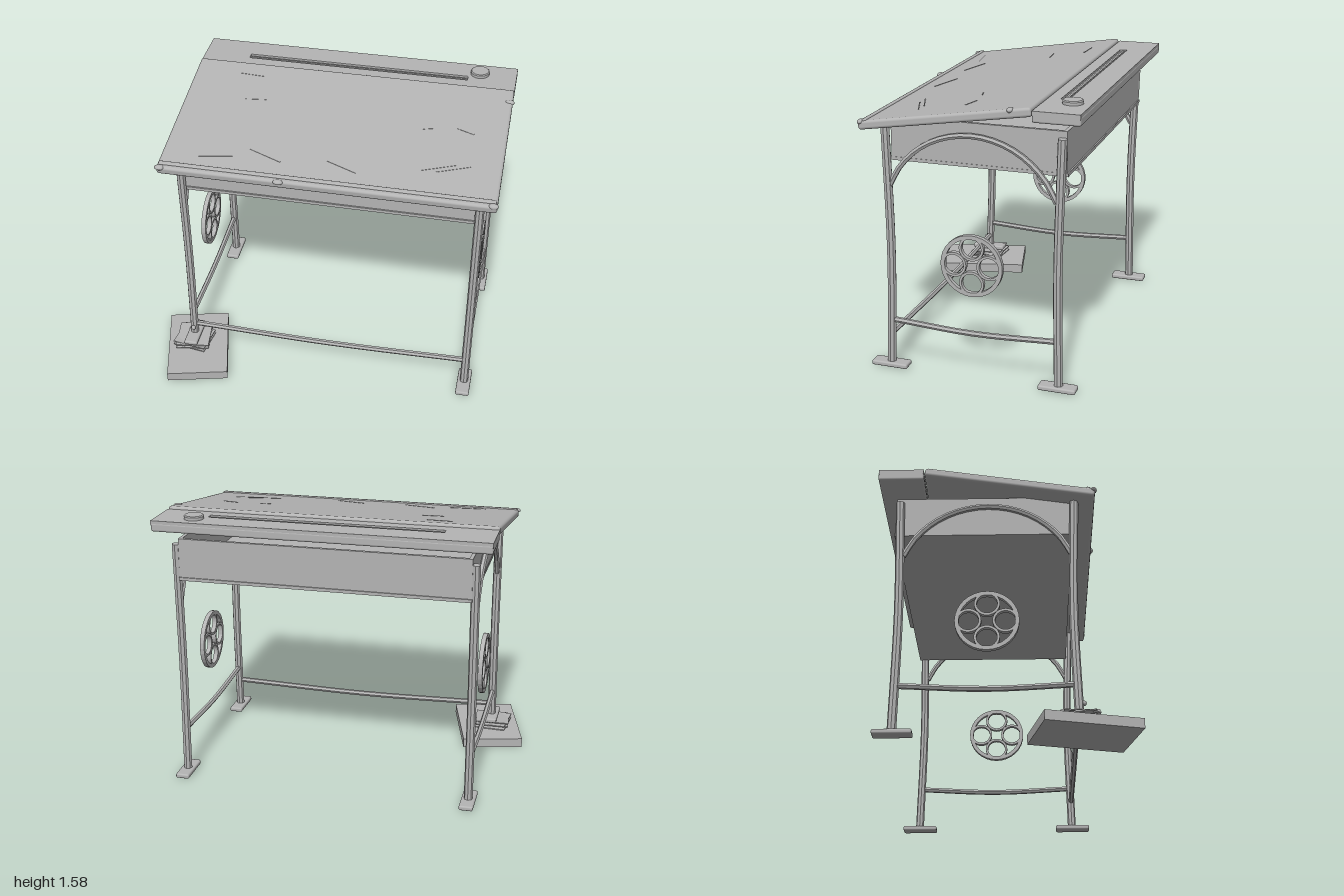
import * as THREE from 'three';
import { RoundedBoxGeometry } from 'three/addons/geometries/RoundedBoxGeometry.js';

const XS = { right: -0.785, left: 0.885 }; // leg planes
const MID = 0.0475; // centre of the desk in x

export function createModel() {
  const model = new THREE.Group();
  const smooth = new THREE.MeshStandardMaterial({ color: 0xb4b4b4 });
  smooth.name = 'grey';
  const flat = smooth; // a single colour; faceted parts get split normals below
  const v = (x, y, z) => new THREE.Vector3(x, y, z);

  const add = (name, geo, x = 0, y = 0, z = 0, parent = model) => {
    const mesh = new THREE.Mesh(geo, smooth);
    mesh.name = name;
    mesh.position.set(x, y, z);
    parent.add(mesh);
    return mesh;
  };
  const facet = (geo) => {
    const g = geo.index ? geo.toNonIndexed() : geo;
    g.computeVertexNormals();
    return g;
  };
  const box = (w, h, d) => new THREE.BoxGeometry(w, h, d);
  const rbox = (w, h, d, r) => new RoundedBoxGeometry(w, h, d, 2, r);
  const bar = (name, points, r, sides, steps = 10) => {
    const curve = new THREE.CatmullRomCurve3(points);
    const mesh = add(name, facet(new THREE.TubeGeometry(curve, steps, r, sides)));
    // end caps
    for (const [t, s] of [[0, -1], [1, 1]]) {
      const cap = add(name + 'Cap', new THREE.CircleGeometry(r, sides));
      cap.position.copy(curve.getPointAt(t));
      cap.lookAt(cap.position.clone().addScaledVector(curve.getTangentAt(t), s));
    }
    return mesh;
  };
  // extrude a (z, y) outline along x, centred on x = 0
  const sideways = (shape, depth, curveSegments = 8) => {
    const g = new THREE.ExtrudeGeometry(shape, { depth, bevelEnabled: false, curveSegments });
    return g.translate(0, 0, -depth / 2).rotateY(-Math.PI / 2);
  };

  // Round side ornament: rim with four small rings
  const ring = (ro, ri, segs) => {
    const s = new THREE.Shape().absarc(0, 0, ro, 0, Math.PI * 2, false);
    s.holes.push(new THREE.Path().absarc(0, 0, ri, 0, Math.PI * 2, true));
    return sideways(s, 0.026, segs);
  };

  for (const [side, x] of Object.entries(XS)) {
    const raised = side === 'right' ? 0.1 : 0;
    // Slightly bowed legs and their feet
    bar(side + 'FrontLeg', [v(x, raised + 0.02, 0.382), v(x, 0.7, 0.366), v(x, 1.4, 0.382)], 0.025, 8);
    bar(side + 'BackLeg', [v(x, 0.02, -0.588), v(x, 0.7, -0.577), v(x, 1.405, -0.592)], 0.025, 8);
    add(side + 'FrontFoot', rbox(0.08, 0.028, 0.21, 0.01), x, raised + 0.016, 0.385);
    add(side + 'BackFoot', rbox(0.08, 0.028, 0.21, 0.01), x, 0.016, -0.585);

    // Arched brace under the desk box
    const arch = [];
    for (let i = 0; i <= 10; i++) {
      const a = THREE.MathUtils.lerp(-1.19, 1.19, i / 10);
      arch.push(v(x, 0.876 + 0.5 * Math.cos(a), -0.1 + 0.5 * Math.sin(a)));
    }
    bar(side + 'Arch', arch, 0.016, 6, 20);

    // Sagging side rail
    bar(side + 'Rail', [v(x, 0.283, 0.37), v(x, 0.262, -0.1), v(x, 0.283, -0.58)], 0.016, 6);

    // Ornament
    const ornament = new THREE.Group();
    ornament.name = side + 'Ornament';
    ornament.position.set(x, 0.658, -0.1);
    add('rim', ring(0.175, 0.152, 16), 0, 0, 0, ornament);
    for (let i = 0; i < 4; i++) {
      const a = (i * Math.PI) / 2;
      add('innerRing', ring(0.07, 0.056, 16), 0, 0.1 * Math.sin(a), 0.1 * Math.cos(a), ornament);
    }
    model.add(ornament);

    // Side wall of the desk box
    const wall = new THREE.Shape([[0.357, 1.205], [0.357, 1.4], [0.11, 1.44], [-0.612, 1.44], [-0.612, 1.205]]
      .map(([z, y]) => new THREE.Vector2(z, y)));
    add(side + 'BoxWall', sideways(wall, 0.02), side === 'right' ? -0.76 : 0.855);
  }

  // Front stretcher
  bar('frontRail', [v(-0.78, 0.195, 0.38), v(MID, 0.178, 0.38), v(0.88, 0.195, 0.38)], 0.016, 6);

  // Desk box
  add('boxFront', box(1.62, 0.195, 0.02), MID, 1.3, 0.347);
  add('boxBack', box(1.62, 0.235, 0.02), MID, 1.3225, -0.602);
  add('boxBottom', box(1.64, 0.018, 0.985), MID, 1.21, -0.127);

  // Sloping lid with a pencil stop
  const lid = new THREE.Group();
  lid.name = 'lid';
  lid.position.set(MID, 1.4785, 0.0225);
  lid.rotation.x = 0.156;
  model.add(lid);
  add('lidBoard', rbox(1.865, 0.05, 0.96, 0.016), 0, 0, 0, lid);
  add('pencilStop', rbox(1.85, 0.016, 0.026, 0.007), 0, 0.025, 0.44, lid);

  // Worn lumps on the lid edge
  for (const [x, z] of [[-0.915, 0.47], [-0.2475, 0.475], [0.912, 0.465], [0.915, -0.37]]) {
    add('wornLump', new THREE.SphereGeometry(0.028, 12, 8), x, 0.018, z, lid).scale.set(1, 0.5, 0.65);
  }
  // Scratches: x, z, length, turn
  for (const [x, z, len, turn] of [
    [-0.64, 0.34, 0.21, 0.16], [-0.36, 0.29, 0.2, -0.38], [0.07, 0.31, 0.19, -0.38],
    [0.59, 0.23, 0.2, 0.36], [0.67, 0.23, 0.19, 0.36], [-0.52, -0.16, 0.12, 0.1],
    [-0.59, -0.37, 0.14, -0.06], [0.7, -0.08, 0.1, -0.35], [0.49, -0.07, 0.06, 0.25],
  ]) {
    add('scratch', box(len, 0.003, 0.006), x, 0.0255, z, lid).rotation.set(0, turn, 0);
  }

  // Back shelf with a pencil groove
  add('shelfBase', rbox(1.865, 0.05, 0.255, 0.012), MID, 1.525, -0.583);
  const top = new THREE.Shape([[-0.885, 0.457], [0.98, 0.457], [0.98, 0.709], [-0.885, 0.709]]
    .map(([x, y]) => new THREE.Vector2(x, y)));
  top.holes.push(new THREE.Path([[-0.61, 0.525], [-0.61, 0.567], [0.7, 0.567], [0.7, 0.525]]
    .map(([x, y]) => new THREE.Vector2(x, y))));
  const topGeo = new THREE.ExtrudeGeometry(top, { depth: 0.026, bevelEnabled: false });
  add('shelfTop', topGeo.rotateX(-Math.PI / 2), 0, 1.536, 0);
  add('grooveRidge', box(1.31, 0.008, 0.012), 0.045, 1.553, -0.546);

  // Inkwell lid
  const profile = [[0, 0], [0.055, 0], [0.055, 0.018], [0.05, 0.024], [0, 0.024]].map(([r, y]) => new THREE.Vector2(r, y));
  add('inkwell', facet(new THREE.LatheGeometry(profile, 24)), 0.765, 1.56, -0.61);

  // Book and folded paper propping up the short leg
  add('book', box(0.36, 0.055, 0.526), -0.76, 0.0275, 0.41).rotation.y = 0.25;
  for (let i = 0; i < 4; i++) {
    const sheet = add('paperFold', box(0.2, 0.006, 0.19), -0.79, 0.064 + i * 0.011, 0.385);
    const s = i % 2 ? 1 : -1;
    sheet.rotation.set(0.05 * s, 0.12 * s, 0.04 * s);
  }
  add('knob', new THREE.SphereGeometry(0.014, 10, 8), -0.785, 0.175, 0.408);

  return model;
}
